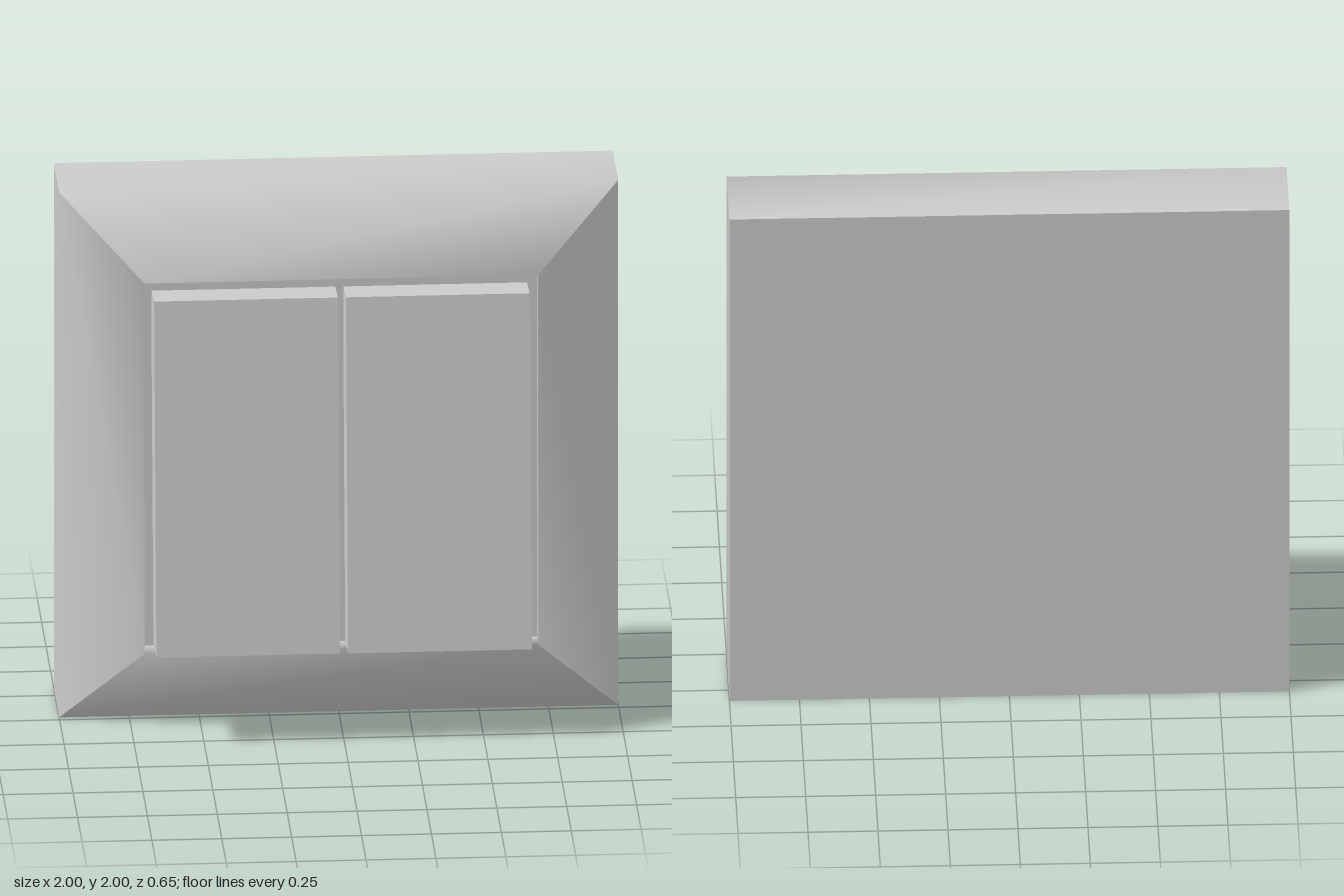
import * as THREE from 'three';

const material = new THREE.MeshStandardMaterial({ color: 0xcccccc });

// One side of the frame: a mitred strip following a (radius, z) profile
function frameSide() {
  const profile = [[1, -0.325], [1, -0.025], [0.705, 0.135], [0.705, 0.05]];
  const positions = [], index = [];
  profile.forEach(([r, z], i) => {
    positions.push(-r, r, z, r, r, z);
    if (i < profile.length - 1) {
      const a = i * 2;
      index.push(a, a + 2, a + 1, a + 1, a + 2, a + 3);
    }
  });
  const geometry = new THREE.BufferGeometry();
  geometry.setAttribute('position', new THREE.Float32BufferAttribute(positions, 3));
  geometry.setIndex(index);
  geometry.computeVertexNormals();
  return geometry;
}

function addMesh(parent, name, geometry, x = 0, y = 0, z = 0) {
  const mesh = new THREE.Mesh(geometry, material);
  mesh.name = name;
  mesh.position.set(x, y, z);
  parent.add(mesh);
  return mesh;
}

export function createModel() {
  const model = new THREE.Group();
  model.name = 'doubleWallSwitch';

  // Square bevelled frame with a shallow recess
  const frame = new THREE.Group();
  frame.name = 'frame';
  frame.position.y = 1;
  model.add(frame);
  const side = frameSide();
  ['frameTop', 'frameLeft', 'frameBottom', 'frameRight'].forEach((name, i) => {
    addMesh(frame, name, side).rotation.z = -i * Math.PI / 2;
  });

  // Flat back and the floor of the recess
  addMesh(frame, 'backPlate', new THREE.PlaneGeometry(2, 2), 0, 0, -0.325).rotation.y = Math.PI;
  addMesh(frame, 'recessPanel', new THREE.PlaneGeometry(1.41, 1.41), 0, 0, 0.05);

  // Two rockers, tilted out at the bottom
  const rocker = new THREE.BoxGeometry(0.657, 1.316, 0.166);
  for (const s of [-1, 1]) {
    const mesh = addMesh(model, s > 0 ? 'leftRocker' : 'rightRocker', rocker, s * 0.343 - 0.003, 0.997, 0.18);
    mesh.rotation.x = -0.095;
  }
  return model;
}
